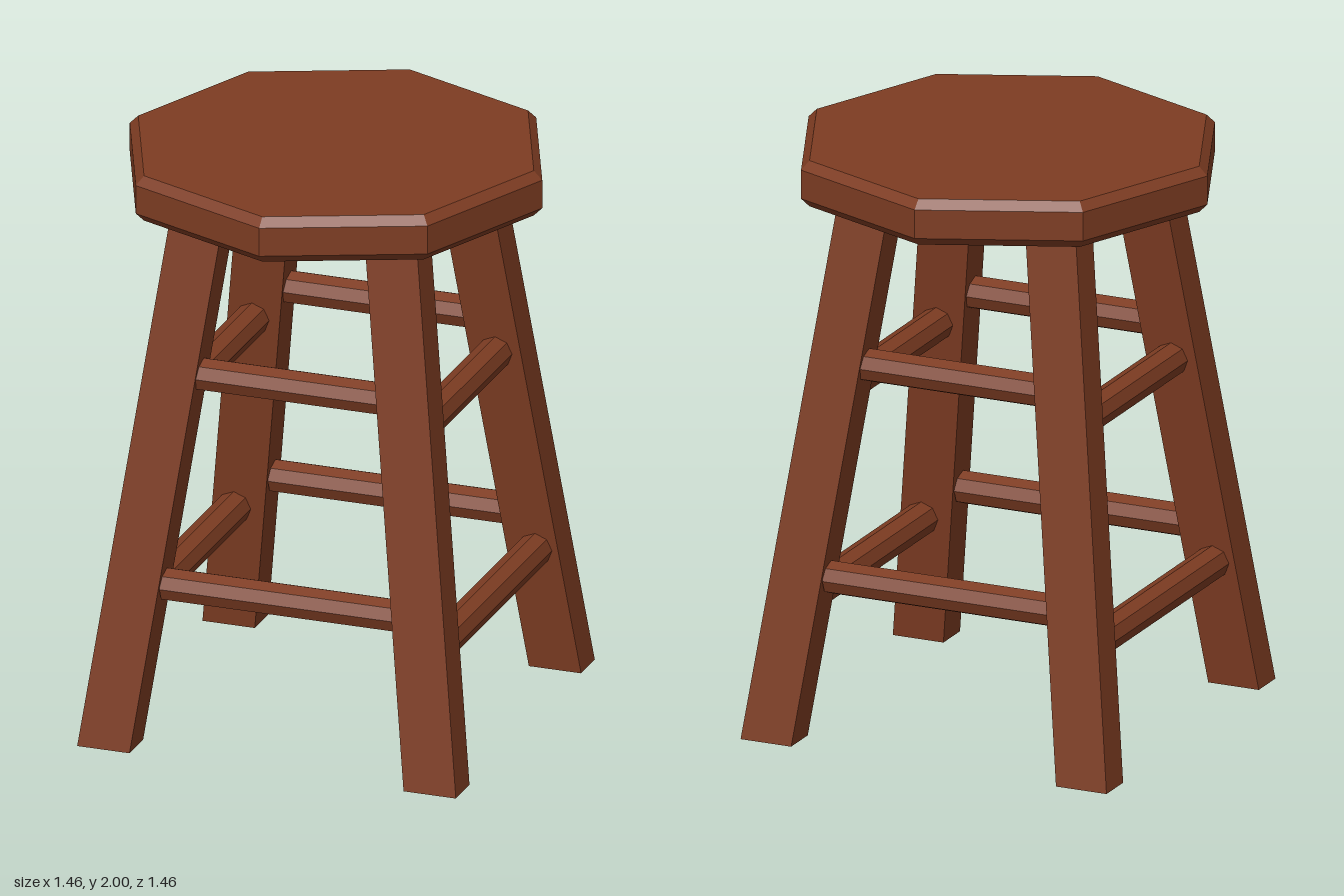
import * as THREE from 'three';

const wood = new THREE.MeshStandardMaterial({ color: 0x7d3c22, flatShading: true });

function addPart(group, name, geometry) {
  const mesh = new THREE.Mesh(geometry, wood);
  mesh.name = name;
  group.add(mesh);
  return mesh;
}

// Upright box sheared inwards towards the top, so both ends stay level
function legGeometry(sx, sz) {
  const height = 1.85;
  const geo = new THREE.BoxGeometry(0.185, height, 0.13).translate(0, height / 2, 0);
  const pos = geo.attributes.position;
  for (let i = 0; i < pos.count; i++) {
    const y = pos.getY(i);
    pos.setX(i, pos.getX(i) + sx * (0.5775 - 0.1277 * y));
    pos.setZ(i, pos.getZ(i) + sz * (0.595 - 0.1413 * y));
  }
  geo.computeVertexNormals();
  return geo;
}

// Eight-sided rod lying along x or z
function rungGeometry(axis, halfLength) {
  const geo = new THREE.CylinderGeometry(0.0575, 0.0575, halfLength * 2, 8);
  return axis === 'x' ? geo.rotateZ(Math.PI / 2) : geo.rotateX(Math.PI / 2);
}

export function createModel() {
  const stool = new THREE.Group();
  stool.name = 'stool';

  // Octagonal seat with bevelled rims
  const profile = [[0, 1.84], [0.7, 1.84], [0.73, 1.87], [0.73, 1.97], [0.7, 2], [0, 2]];
  addPart(stool, 'seat', new THREE.LatheGeometry(profile.map(([r, y]) => new THREE.Vector2(r, y)), 8));

  // Four splayed legs
  for (const [sz, end] of [[1, 'front'], [-1, 'back']]) {
    for (const [sx, side] of [[1, 'Left'], [-1, 'Right']]) {
      addPart(stool, `${end}${side}Leg`, legGeometry(sx, sz));
    }
  }

  // Two levels of rungs; side rungs sit a little lower than front and back ones
  const levels = [
    { name: 'Lower', xRung: { y: 0.562, out: 0.515, half: 0.412 }, zRung: { y: 0.45, out: 0.533, half: 0.47 } },
    { name: 'Upper', xRung: { y: 1.287, out: 0.415, half: 0.33 }, zRung: { y: 1.177, out: 0.43, half: 0.375 } },
  ];
  for (const { name, xRung, zRung } of levels) {
    for (const s of [1, -1]) {
      addPart(stool, `${s > 0 ? 'front' : 'back'}${name}Rung`, rungGeometry('x', xRung.half))
        .position.set(0, xRung.y, s * xRung.out);
      addPart(stool, `${s > 0 ? 'left' : 'right'}${name}Rung`, rungGeometry('z', zRung.half))
        .position.set(s * zRung.out, zRung.y, 0);
    }
  }

  return stool;
}
